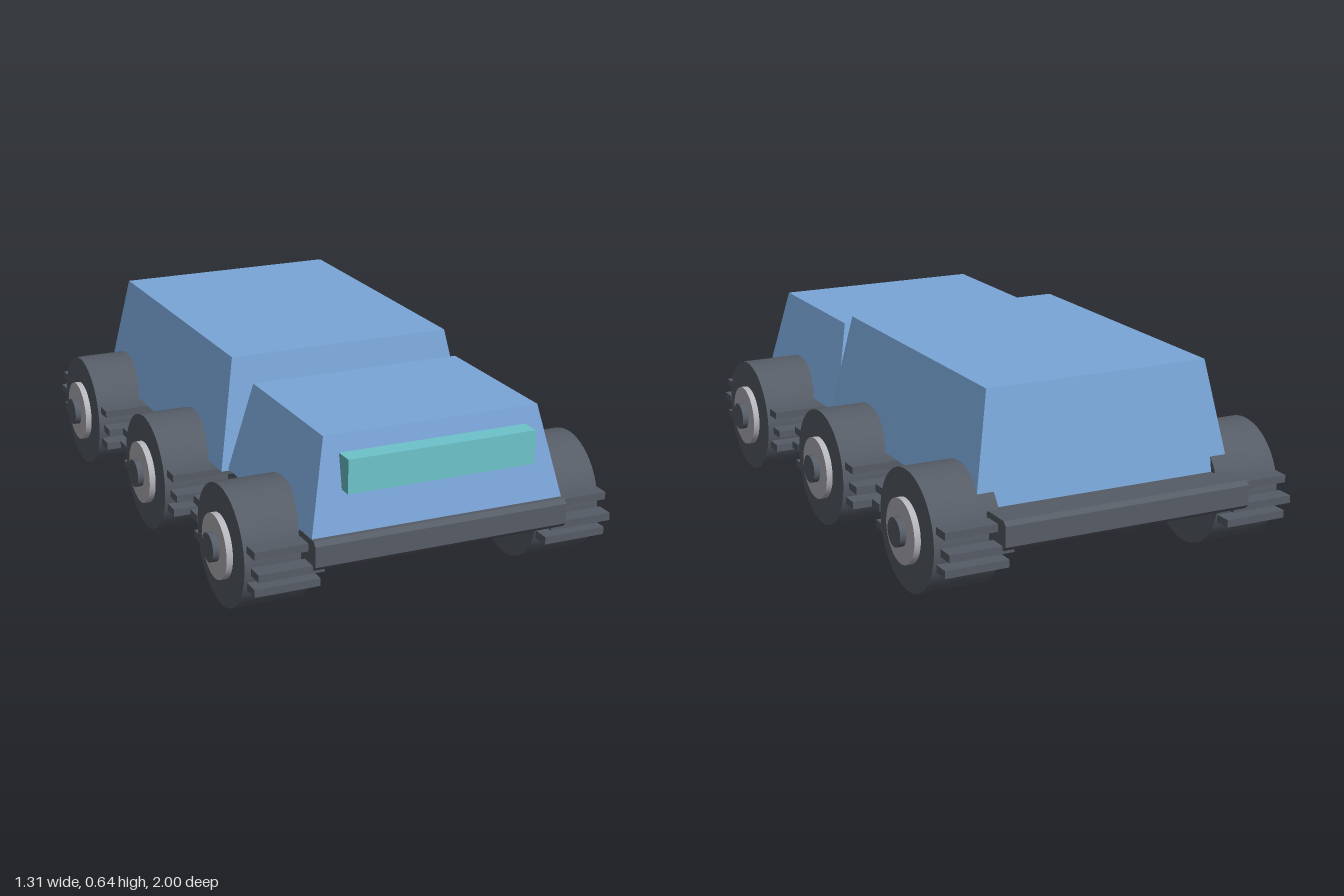
import * as THREE from 'three';

const mat = (name, color, flatShading = false) => {
  const m = new THREE.MeshStandardMaterial({ color });
  m.name = name;
  m.flatShading = flatShading;
  return m;
};

export function createModel() {
  const root = new THREE.Group();
  root.name = 'sixWheeler';
  const blue = mat('bodyBlue', 0x7aa6d8);
  const dark = mat('darkGrey', 0x565c66);
  const light = mat('hubGrey', 0xb4b4bb);
  const teal = mat('windowTeal', 0x6dc3cb);

  const add = (parent, name, geo, material, x = 0, y = 0, z = 0) => {
    const mesh = new THREE.Mesh(geo, material);
    mesh.name = name;
    mesh.position.set(x, y, z);
    parent.add(mesh);
    return mesh;
  };
  const box = (parent, name, m, w, h, d, x, y, z) =>
    add(parent, name, new THREE.BoxGeometry(w, h, d), m, x, y, z);

  // Box whose upper corners are moved in to the given half width and z range
  const hull = (name, bottom, top) => {
    const geo = new THREE.BoxGeometry(2, 2, 2);
    const p = geo.attributes.position;
    for (let i = 0; i < p.count; i++) {
      const e = p.getY(i) > 0 ? top : bottom;
      p.setXYZ(i, p.getX(i) * e.x, e.y, p.getZ(i) > 0 ? e.front : e.back);
    }
    geo.computeVertexNormals();
    return add(root, name, geo, blue);
  };
  hull('cab', { x: 0.43, y: 0.285, front: 0.97, back: 0.3 },
    { x: 0.365, y: 0.59, front: 0.908, back: 0.365 });
  hull('rearBody', { x: 0.455, y: 0.28, front: 0.303, back: -0.848 },
    { x: 0.388, y: 0.645, front: 0.24, back: -0.788 });
  box(root, 'windscreen', teal, 0.636, 0.11, 0.085, 0, 0.48, 0.943);

  // Chassis and chamfered bumpers
  box(root, 'chassis', dark, 0.78, 0.085, 1.9, 0, 0.2425, 0);
  const a = 0.065, b = 0.047, c = 0.014;
  const profile = new THREE.Shape([
    [-a + c, -b], [a - c, -b], [a, -b + c], [a, b - c],
    [a - c, b], [-a + c, b], [-a, b - c], [-a, -b + c],
  ].map(([x, y]) => new THREE.Vector2(x, y)));
  for (const s of [1, -1]) {
    const geo = new THREE.ExtrudeGeometry(profile, { depth: 0.86, bevelEnabled: false });
    geo.translate(0, 0, -0.43).rotateY(Math.PI / 2);
    add(root, s > 0 ? 'frontBumper' : 'rearBumper', geo, dark, 0, 0.246, s * 0.935);
  }

  // Cylinder lying along x between two positions
  const rod = (parent, name, m, r, x0, x1) => {
    const geo = new THREE.CylinderGeometry(r, r, Math.abs(x1 - x0), 48);
    geo.rotateZ(Math.PI / 2);
    return add(parent, name, geo, m, (x0 + x1) / 2);
  };

  for (const z of [0.695, 0, -0.695]) {
    const axle = new THREE.Group();
    axle.name = 'axleAssembly';
    axle.position.set(0, 0.2, z);
    root.add(axle);
    rod(axle, 'axle', dark, 0.05, -0.4, 0.4);
    add(axle, 'differential', new THREE.CylinderGeometry(0.045, 0.068, 0.022, 32), light, 0, -0.009, 0);

    for (const s of [1, -1]) {
      const wheel = new THREE.Group();
      wheel.name = s > 0 ? 'leftWheel' : 'rightWheel';
      axle.add(wheel);
      rod(wheel, 'tyre', dark, 0.197, s * 0.388, s * 0.614);
      rod(wheel, 'hub', light, 0.105, s * 0.6, s * 0.635);
      rod(wheel, 'hubCap', dark, 0.047, s * 0.62, s * 0.656);
      // Three tread bars ahead of and behind each tyre
      for (const e of [1, -1]) {
        for (const [y, dz] of [[0.06, 0.224], [0, 0.255], [-0.06, 0.224]]) {
          box(wheel, 'treadBar', dark, 0.215, 0.025, 0.06, s * 0.4975, y, e * dz);
        }
      }
    }
  }
  return root;
}
